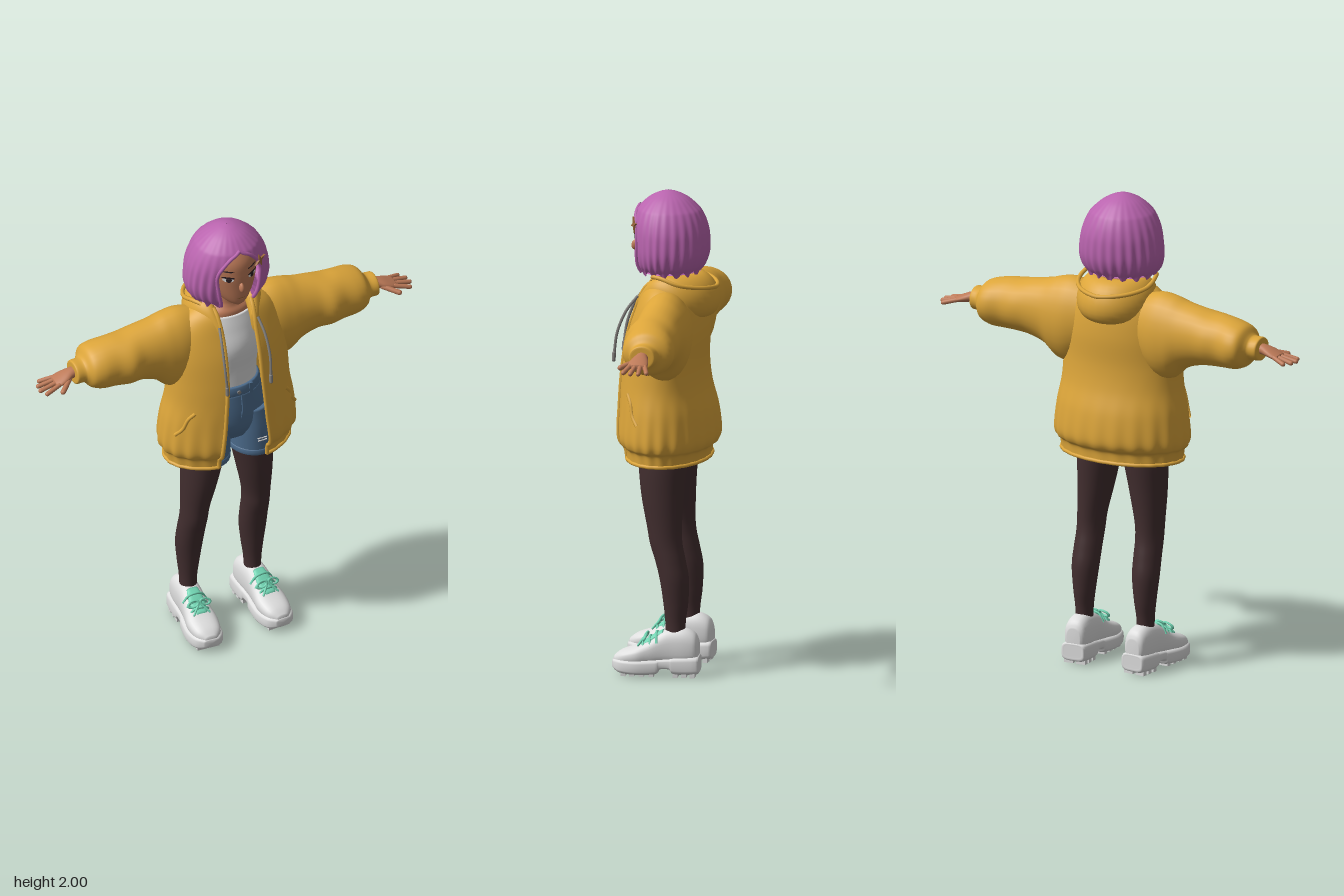
import * as THREE from 'three';

const V = (x, y, z) => new THREE.Vector3(x, y, z);
const paint = (name, color, side = THREE.FrontSide) => {
  const m = new THREE.MeshStandardMaterial({ color, side });
  m.name = name;
  return m;
};

// Smoothly interpolates rows of numbers, k steps per span
function resample(rows, k = 6) {
  const out = [], at = i => rows[Math.max(0, Math.min(rows.length - 1, i))];
  for (let i = 0; i < rows.length - 1; i++) {
    for (let j = 0; j < k; j++) {
      const t = j / k, [a, b, c, d] = [at(i - 1), at(i), at(i + 1), at(i + 2)];
      out.push(b.map((q, n) => q + 0.5 * t * (c[n] - a[n] + t * (2 * a[n] - 5 * q + 4 * c[n] - d[n] + t * (3 * (q - c[n]) + d[n] - a[n])))));
    }
  }
  out.push(at(rows.length - 1));
  return out;
}

// Joins rings of points into a surface; closed rings also get end caps
function skin(rings, closed = true) {
  const n = rings[0].length, pos = [], idx = [];
  rings.forEach(r => r.forEach(p => pos.push(p.x, p.y, p.z)));
  for (let i = 0; i < rings.length - 1; i++) {
    for (let j = 0; j < (closed ? n : n - 1); j++) {
      const a = i * n + j, b = i * n + (j + 1) % n;
      idx.push(a, b, b + n, a, b + n, a + n);
    }
  }
  if (closed) {
    [0, rings.length - 1].forEach((r, end) => {
      const c = rings[r].reduce((s, p) => s.add(p), V(0, 0, 0)).divideScalar(n), k = pos.length / 3;
      pos.push(c.x, c.y, c.z);
      for (let j = 0; j < n; j++) {
        const a = r * n + j, b = r * n + (j + 1) % n;
        end ? idx.push(k, a, b) : idx.push(k, b, a);
      }
    });
  }
  const g = new THREE.BufferGeometry();
  g.setAttribute('position', new THREE.Float32BufferAttribute(pos, 3));
  g.setIndex(idx);
  g.computeVertexNormals();
  return g;
}
const around = (n, f) => Array.from({ length: n }, (_, j) => f(Math.sin(j / n * 2 * Math.PI), Math.cos(j / n * 2 * Math.PI)));
// Rows: [y, centreX, centreZ, radiusX, radiusZ]
const loftY = (rows, k) => skin(resample(rows, k).map(([y, x, z, a, b]) => around(28, (s, c) => V(x + a * s, y, z + b * c))));
// Rows: [x, centreY, centreZ, radiusY, radiusZ]
const loftX = rows => skin(resample(rows).map(([x, y, z, a, b]) => around(28, (s, c) => V(x, y + a * c, z + b * s))));
// Rows: [z, halfWidth, bottom, top], with squarish sections
const box = (v, e) => Math.sign(v) * Math.abs(v) ** e;
const loftZ = (rows, e, k = 4) => skin(resample(rows, k).map(([z, w, lo, hi]) =>
  around(28, (s, c) => V(w * box(c, e), (lo + hi) / 2 + (hi - lo) / 2 * box(s, e), z))));

// Garment or hair shell open at the front. Rows: [y, halfWidth, front, back, gap, wave]
const shellPoint = ([y, w, f, b, , amp], t, waves) => {
  const r = 1 + amp * Math.cos(waves * t);
  return V(w * r * Math.sin(t), y, r * Math.cos(t) * (Math.cos(t) > 0 ? f : -b));
};
function shell(rows, waves, n = 120) {
  return resample(rows).map(row => {
    const a = Math.asin(Math.min(0.95, Math.max(0, row[4]) / row[1]));
    return Array.from({ length: n + 1 }, (_, j) => shellPoint(row, a + (2 * Math.PI - 2 * a) * j / n, waves));
  });
}
const tube = (pts, r, n = 32) => new THREE.TubeGeometry(new THREE.CatmullRomCurve3(pts), n, r, 8);
function limb(a, b, r) {
  const d = b.clone().sub(a), g = new THREE.CapsuleGeometry(r, d.length(), 5, 12);
  g.applyQuaternion(new THREE.Quaternion().setFromUnitVectors(V(0, 1, 0), d.normalize()));
  return g.translate((a.x + b.x) / 2, (a.y + b.y) / 2, (a.z + b.z) / 2);
}
function mirrored(geo) {
  const g = geo.clone().scale(-1, 1, 1);
  const ix = g.index ? Array.from(g.index.array) : Array.from({ length: g.attributes.position.count }, (_, i) => i);
  for (let i = 0; i < ix.length; i += 3) [ix[i], ix[i + 1]] = [ix[i + 1], ix[i]];
  g.setIndex(ix);
  return g;
}

export function createModel() {
  const D = THREE.DoubleSide, root = new THREE.Group();
  root.name = 'girlInHoodedJacket';
  const mustard = paint('mustard cloth', 0xdca53a, D), purple = paint('purple hair', 0xb964ae, D);
  const flesh = paint('skin', 0xbd7a58), tights = paint('dark tights', 0x422e2f), denim = paint('blue denim', 0x4d6d8e);
  const white = paint('white', 0xdedede), mint = paint('mint laces', 0x72d6b4), grey = paint('grey cord', 0x85827f);
  const dark = paint('eye dark', 0x2b1c20), brass = paint('brass', 0x9c683c);
  const add = (name, geo, mat) => {
    const m = new THREE.Mesh(geo, mat);
    m.name = name;
    root.add(m);
  };
  const pair = (name, geo, mat) => { add(name + 'Left', geo, mat); add(name + 'Right', mirrored(geo), mat); };

  // Head, nose, neck and chest
  const headRows = [[1.663, 0, 0.095, 0.012, 0.018], [1.68, 0, 0.078, 0.042, 0.05], [1.71, 0, 0.05, 0.074, 0.084],
    [1.76, 0, 0.03, 0.1, 0.106], [1.82, 0, 0.018, 0.114, 0.118], [1.88, 0, 0.008, 0.112, 0.118], [1.94, 0, 0, 0.075, 0.08], [1.96, 0, 0, 0.03, 0.03]];
  add('head', loftY(headRows), flesh);
  add('nose', new THREE.SphereGeometry(1, 16, 12).scale(0.011, 0.022, 0.016).rotateX(-0.25).translate(0, 1.765, 0.138), flesh);
  add('neck', loftY([[1.55, 0, -0.01, 0.115, 0.07], [1.585, 0, -0.01, 0.1, 0.068], [1.61, 0, -0.01, 0.06, 0.055], [1.64, 0, -0.005, 0.046, 0.046], [1.72, 0, 0.005, 0.046, 0.046]]), flesh);

  // Face details follow the head surface
  const fine = resample(headRows);
  const faceZ = (x, y) => {
    const i = fine.findIndex(r => r[0] > y), t = (y - fine[i - 1][0]) / (fine[i][0] - fine[i - 1][0]);
    const [, , z, a, b] = fine[i].map((q, n) => fine[i - 1][n] * (1 - t) + q * t);
    return z + b * Math.sqrt(Math.max(0, 1 - (x / a) ** 2));
  };
  const decal = (x, y, rx, ry, tilt, lift) => {
    const s = new THREE.Shape();
    s.absellipse(x, y, rx, ry, 0, 2 * Math.PI, false, tilt);
    const g = new THREE.ShapeGeometry(s, 12), p = g.attributes.position;
    for (let i = 0; i < p.count; i++) p.setZ(i, faceZ(p.getX(i), p.getY(i)) + lift);
    g.computeVertexNormals();
    return g;
  };
  pair('eyeWhite', decal(0.054, 1.811, 0.021, 0.011, 0.1, 0.003), white);
  pair('iris', decal(0.053, 1.811, 0.0105, 0.012, 0, 0.005), dark);
  pair('upperLash', decal(0.055, 1.822, 0.026, 0.0045, 0.12, 0.006), dark);
  pair('brow', decal(0.055, 1.85, 0.025, 0.0032, 0.1, 0.004), dark);
  add('mouth', decal(0, 1.712, 0.017, 0.003, 0, 0.004), brass);

  // Bob haircut: shell, rim around the face and inward-turned ends
  const hair = shell([[1.668, 0.142, 0.112, -0.13, 0.072, 0.025], [1.7, 0.168, 0.124, -0.153, 0.08, 0.022], [1.75, 0.18, 0.132, -0.168, 0.092, 0.018],
    [1.82, 0.174, 0.138, -0.168, 0.1, 0.014], [1.87, 0.16, 0.139, -0.158, 0.08, 0.01], [1.912, 0.14, 0.13, -0.14, 0.04, 0.008], [1.935, 0.122, 0.117, -0.122, 0, 0.006],
    [1.97, 0.081, 0.08, -0.082, 0, 0.004], [1.992, 0.037, 0.037, -0.038, 0, 0], [2, 0.002, 0.002, -0.002, 0, 0]], 26, 156);
  hair.slice(0, 3).forEach((r, i) => r.forEach((p, j) => { p.y += 0.012 * (1 - i / 3) * Math.sin(j * 0.52); }));
  add('hair', skin(hair, false), purple);
  pair('hairRim', tube(hair.slice(0, 37).filter((_, i) => i % 3 === 0).map(r => r[0]), 0.008), purple);
  add('hairUnderside', skin(shell([[1.67, 0.14, 0.11, -0.128, 0.072, 0.02], [1.695, 0.11, 0.08, -0.1, 0.07, 0.02], [1.73, 0.085, 0.05, -0.07, 0.06, 0]], 26), false), purple);

  // Four-pointed hair clip
  const star = new THREE.Shape(Array.from({ length: 8 }, (_, i) => {
    const r = i % 2 ? 0.009 : 0.034, a = i * Math.PI / 4 + 0.3;
    return new THREE.Vector2(r * Math.cos(a), r * Math.sin(a));
  }));
  add('hairClip', new THREE.ExtrudeGeometry(star, { depth: 0.008, bevelEnabled: false }).rotateY(0.5).translate(0.088, 1.868, 0.122), brass);

  // Shirt
  add('shirt', loftY([[1.18, 0, 0, 0.13, 0.098], [1.3, 0, 0, 0.128, 0.1], [1.42, 0, 0, 0.14, 0.112], [1.51, 0, -0.005, 0.14, 0.092], [1.572, 0, -0.008, 0.112, 0.072]]), white);

  // Jacket body
  const coatRows = [[0.895, 0.274, 0.165, -0.175, 0.11, 0.006], [0.938, 0.28, 0.17, -0.18, 0.11, 0.008], [0.958, 0.295, 0.19, -0.203, 0.11, 0.014],
    [1, 0.3, 0.2, -0.213, 0.108, 0.01], [1.1, 0.29, 0.195, -0.202, 0.096, 0.004], [1.2, 0.272, 0.19, -0.176, 0.088, 0], [1.3, 0.265, 0.18, -0.165, 0.08, 0],
    [1.42, 0.258, 0.158, -0.168, 0.077, 0], [1.52, 0.235, 0.125, -0.158, 0.076, 0], [1.59, 0.185, 0.1, -0.138, 0.08, 0], [1.632, 0.12, 0.072, -0.1, 0.085, 0]];
  const coat = shell(coatRows, 22, 176);
  add('jacketBody', skin(coat, false), mustard);
  pair('jacketFrontEdge', tube(coat.filter((_, i) => i % 4 === 0).map(r => r[0]), 0.009, 60), mustard);
  add('hemPiping', tube(coat[0].filter((_, i) => i % 4 === 0), 0.008, 120), mustard);
  const coatFine = resample(coatRows);
  pair('pocketWelt', tube([[1.06, 0.272], [1.095, 0.25], [1.135, 0.23], [1.175, 0.205]].map(([y, x]) => {
    const row = coatFine.find(r => r[0] >= y);
    return shellPoint(row, Math.asin(x / row[1]), 22);
  }), 0.008), mustard);

  // Puffy sleeves with ribbed cuffs
  pair('sleeve', loftX([[0.1, 1.46, -0.03, 0.13, 0.09], [0.2, 1.438, -0.03, 0.178, 0.112], [0.27, 1.436, -0.03, 0.174, 0.113], [0.33, 1.452, -0.03, 0.14, 0.108],
    [0.4, 1.458, -0.03, 0.121, 0.106], [0.46, 1.456, -0.025, 0.112, 0.113], [0.52, 1.455, -0.03, 0.108, 0.104], [0.58, 1.452, -0.036, 0.1, 0.108], [0.62, 1.452, -0.038, 0.085, 0.097],
    [0.642, 1.45, -0.034, 0.058, 0.068], [0.655, 1.45, -0.032, 0.05, 0.058], [0.685, 1.45, -0.03, 0.049, 0.055], [0.69, 1.45, -0.03, 0.04, 0.044]]), mustard);

  // Hood lying round the neck; half rows: [angle from back, radius, height, thickness, depth]
  const half = [[0, 0.14, 1.572, 0.072, 0.09], [1, 0.128, 1.582, 0.056, 0.082], [1.6, 0.115, 1.603, 0.04, 0.056], [2.1, 0.11, 1.59, 0.028, 0.046], [2.5, 0.126, 1.535, 0.016, 0.04]];
  const hoodRows = [...half.slice(1).reverse().map(([t, ...r]) => [-t, ...r]), ...half];
  add('hood', skin(resample(hoodRows).map(([t, R, y, a, b]) => around(28, (s, c) => {
    const q = R + a * c - 0.25 * a * s;
    return V(q * Math.sin(t), y + b * s, -q * Math.cos(t));
  }))), mustard);
  add('hoodFold', tube(resample(hoodRows).slice(9, 40).map(([t, R, y, a, b]) =>
    V((R + a * 0.98) * Math.sin(t), y + 0.035 + 0.015 * Math.abs(t), -(R + a * 0.86) * Math.cos(t))), 0.009, 60), mustard);

  // Drawstrings
  pair('drawstring', tube([V(0.088, 1.57, 0.11), V(0.098, 1.51, 0.155), V(0.103, 1.42, 0.192), V(0.1, 1.33, 0.206)], 0.006), grey);
  pair('drawstringTip', limb(V(0.1, 1.33, 0.206), V(0.1, 1.3, 0.208), 0.008), grey);

  // Hands
  pair('palm', loftX([[0.66, 1.452, -0.03, 0.024, 0.027], [0.695, 1.451, -0.03, 0.022, 0.027], [0.725, 1.444, -0.028, 0.02, 0.037], [0.755, 1.435, -0.028, 0.016, 0.041], [0.777, 1.43, -0.03, 0.011, 0.036]]), flesh);
  [[0.003, 0.018, 0.828], [-0.019, -0.014, 0.842], [-0.04, -0.046, 0.838], [-0.059, -0.076, 0.818]].forEach(([z0, z1, x], i) =>
    pair('finger' + (i + 1), limb(V(0.765, 1.432, z0), V(x, 1.417, z1), 0.0095), flesh));
  pair('thumb', limb(V(0.715, 1.44, -0.005), V(0.768, 1.424, 0.043), 0.011), flesh);

  // Legs in tights
  pair('leg', loftY([[0.14, 0.147, -0.06, 0.036, 0.042], [0.22, 0.147, -0.06, 0.036, 0.042], [0.3, 0.146, -0.061, 0.045, 0.051], [0.4, 0.145, -0.055, 0.056, 0.06], [0.48, 0.143, -0.038, 0.057, 0.063],
    [0.55, 0.141, -0.02, 0.056, 0.067], [0.62, 0.138, -0.012, 0.059, 0.072], [0.75, 0.125, -0.002, 0.075, 0.088], [0.88, 0.111, 0, 0.089, 0.1], [0.98, 0.1, 0, 0.09, 0.1]]), tights);

  // Denim shorts
  pair('shortsLeg', loftY([[0.878, 0.104, 0.012, 0.097, 0.116], [1, 0.096, 0.01, 0.096, 0.116], [1.1, 0.085, 0.005, 0.09, 0.108]]), denim);
  pair('shortsCuff', loftY([[0.876, 0.104, 0.012, 0.094, 0.113], [0.879, 0.104, 0.012, 0.1, 0.119], [0.9, 0.103, 0.012, 0.1, 0.119], [0.904, 0.103, 0.012, 0.096, 0.115]], 2), denim);
  add('shortsHips', loftY([[0.975, 0, 0.008, 0.15, 0.085], [1.03, 0, 0.006, 0.178, 0.112], [1.1, 0, 0.003, 0.172, 0.118], [1.2, 0, 0, 0.14, 0.11]]), denim);
  add('waistband', loftY([[1.195, 0, 0, 0.138, 0.106], [1.199, 0, 0, 0.144, 0.114], [1.235, 0, 0, 0.138, 0.111], [1.238, 0, 0, 0.13, 0.102]], 2), denim);
  add('fly', tube([V(0.012, 1.2, 0.114), V(0.014, 1.12, 0.119), V(0, 1.06, 0.116)], 0.004), denim);
  pair('beltLoop', new THREE.BoxGeometry(0.013, 0.05, 0.008).translate(0.06, 1.216, 0.104), denim);
  add('button', new THREE.CylinderGeometry(0.008, 0.008, 0.006, 16).rotateX(Math.PI / 2).translate(0, 1.217, 0.116), grey);
  [0.95, 0.962].forEach(y => pair('frayedPatch', new THREE.BoxGeometry(0.04, 0.004, 0.006).translate(0.1, y, 0.127), white));

  // Chunky shoes, toes turned slightly out
  const shoe = (name, geo, mat) => pair(name, geo.rotateY(0.06).translate(0.152, 0, 0), mat);
  shoe('sole', loftZ([[-0.16, 0.04, 0.03, 0.08], [-0.15, 0.056, 0.012, 0.09], [-0.06, 0.06, 0.01, 0.085], [-0.04, 0.059, 0.03, 0.08], [0, 0.06, 0.03, 0.076],
    [0.018, 0.066, 0.01, 0.075], [0.1, 0.075, 0.006, 0.072], [0.165, 0.062, 0.012, 0.072], [0.197, 0.03, 0.03, 0.065]], 0.5), white);
  shoe('shoeUpper', loftZ([[-0.157, 0.03, 0.06, 0.15], [-0.142, 0.046, 0.05, 0.18], [-0.1, 0.052, 0.04, 0.2], [-0.04, 0.052, 0.04, 0.197], [0, 0.054, 0.04, 0.182],
    [0.05, 0.06, 0.04, 0.148], [0.1, 0.066, 0.04, 0.124], [0.16, 0.054, 0.04, 0.102], [0.192, 0.024, 0.045, 0.078]], 0.8), white);
  [-0.135, -0.1, -0.065, 0.035, 0.075, 0.115, 0.15].forEach(z => [-1, 1].forEach(s =>
    shoe('tread', new THREE.BoxGeometry(0.042, 0.02, 0.02).translate(s * 0.028, 0.01, z), white)));
  shoe('tongue', loftZ([[-0.012, 0.026, 0.16, 0.192], [0.02, 0.032, 0.14, 0.176], [0.05, 0.034, 0.12, 0.155], [0.09, 0.026, 0.1, 0.131]], 0.7), mint);
  [[0.015, 0.181], [0.042, 0.163], [0.07, 0.146]].forEach(([z, y]) =>
    shoe('lace', tube([V(-0.05, y - 0.04, z - 0.004), V(-0.028, y - 0.008, z), V(0, y, z + 0.002), V(0.028, y - 0.008, z), V(0.05, y - 0.04, z - 0.004)], 0.0055), mint));
  [-1, 1].forEach(s => {
    shoe('laceBow', new THREE.TorusGeometry(0.016, 0.005, 8, 20).scale(1.4, 0.8, 1).rotateX(-0.5).rotateZ(-0.25 * s).translate(s * 0.026, 0.163, 0.062), mint);
    shoe('laceEnd', limb(V(s * 0.005, 0.16, 0.066), V(s * 0.034, 0.128, 0.09), 0.0045), mint);
  });
  return root;
}
